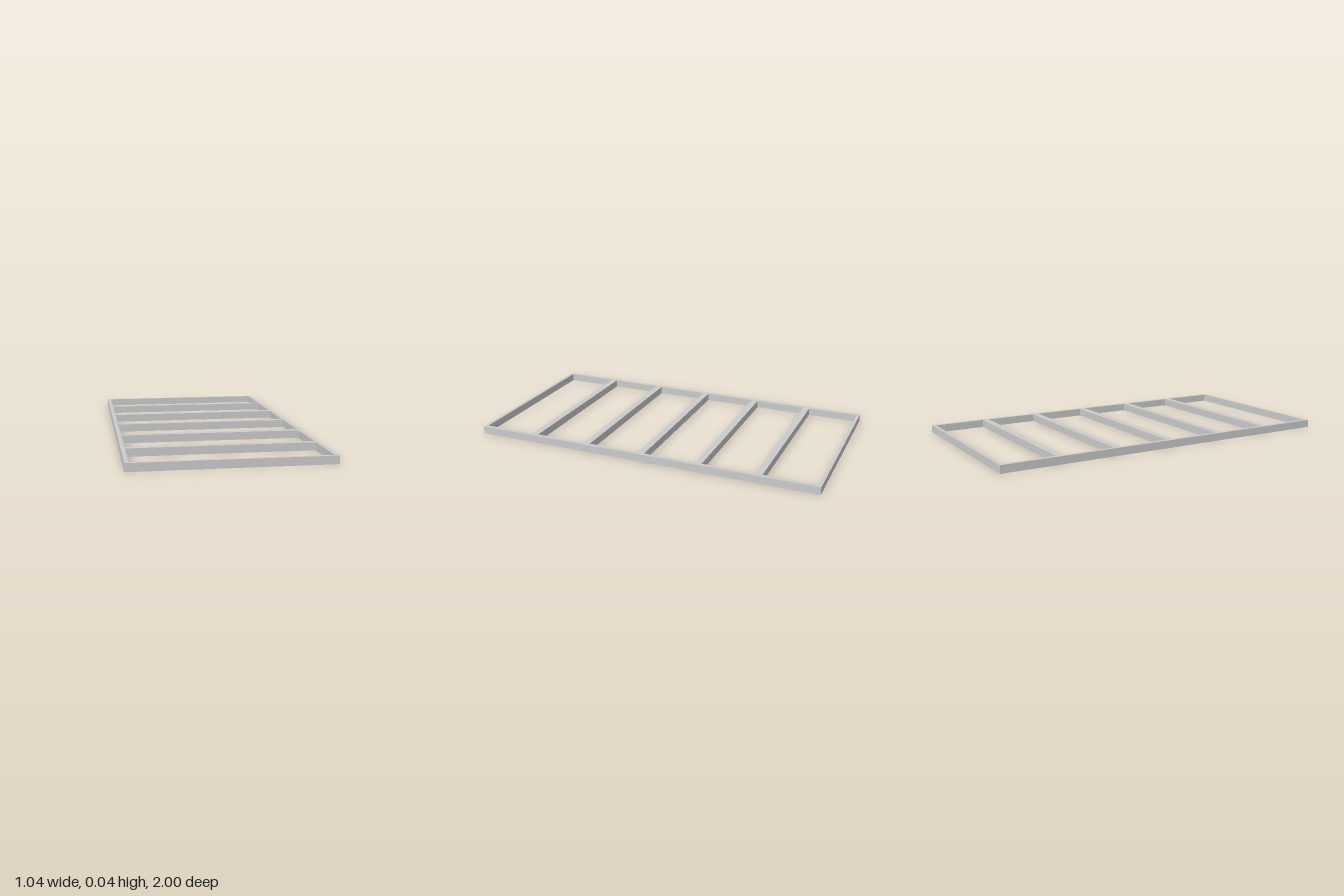
import * as THREE from 'three';

const WIDTH = 1.04, LENGTH = 2, HEIGHT = 0.043;
const SIDE = 0.022, END = 0.018, SLAT = 0.038;

export function createModel() {
  const group = new THREE.Group();
  group.name = 'slattedFrame';
  const material = new THREE.MeshStandardMaterial({ color: 0xcccccc, flatShading: true });

  // A bar resting on the ground
  const addBar = (name, width, depth, x, z) => {
    const bar = new THREE.Mesh(new THREE.BoxGeometry(width, HEIGHT, depth), material);
    bar.name = name;
    bar.position.set(x, HEIGHT / 2, z);
    group.add(bar);
  };

  const innerWidth = WIDTH - 2 * SIDE;

  // Long side rails
  addBar('leftRail', SIDE, LENGTH, (WIDTH - SIDE) / 2, 0);
  addBar('rightRail', SIDE, LENGTH, -(WIDTH - SIDE) / 2, 0);

  // Thin end rails between the side rails
  addBar('frontRail', innerWidth, END, 0, (LENGTH - END) / 2);
  addBar('backRail', innerWidth, END, 0, -(LENGTH - END) / 2);

  // Five evenly spaced cross slats, set slightly towards the back
  for (let i = 0; i < 5; i++) {
    addBar(`slat${i + 1}`, innerWidth, SLAT, 0, -0.005 + (i - 2) * 0.3335);
  }

  return group;
}
